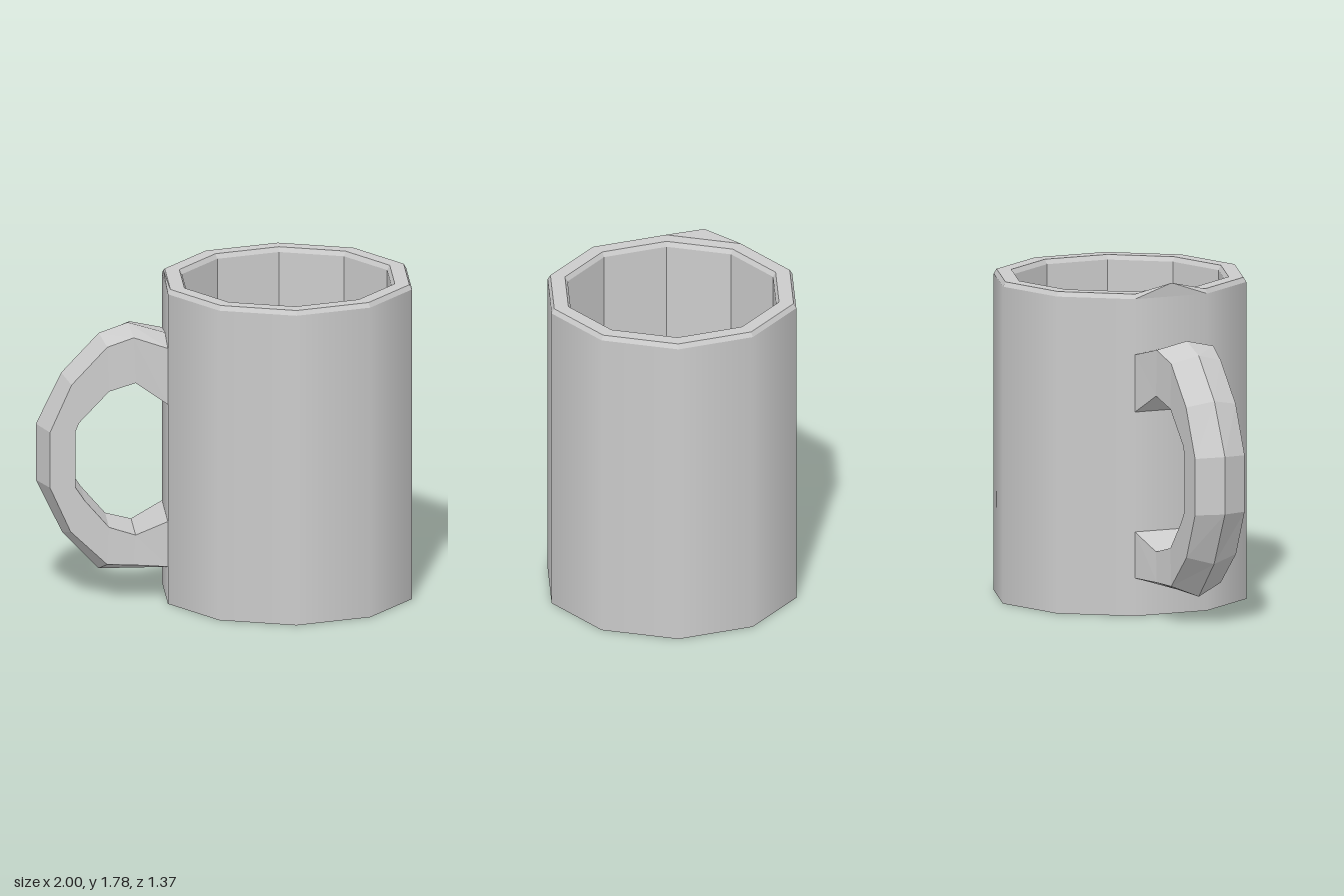
import * as THREE from 'three';
import { ConvexGeometry } from 'three/addons/geometries/ConvexGeometry.js';

const SIDES = 10;
const RADIUS = 0.685;
const CENTRE_X = 0.34;
const WALL_X = -RADIUS * Math.cos(Math.PI / SIDES); // flat face that carries the handle
const HALF_FACE = RADIUS * Math.sin(Math.PI / SIDES);

const flat = () => new THREE.MeshStandardMaterial({ color: 0xcccccc, flatShading: true });
const smooth = () => new THREE.MeshStandardMaterial({ color: 0xcccccc });

function lathe(points) {
  return new THREE.LatheGeometry(points.map(([r, y]) => new THREE.Vector2(r, y)), SIDES);
}

// Stations from the upper end to the lower one:
// [ridge x, y, shoulder x, y, inner x, y, half width]
const STATIONS = [
  [-0.31, 1.44, -0.31, 1.41, -0.31, 1.10, HALF_FACE],
  [-0.51, 1.50, -0.49, 1.46, -0.48, 1.21, 0.165],
  [-0.665, 1.445, -0.63, 1.405, -0.62, 1.16, 0.145],
  [-0.865, 1.23, -0.82, 1.20, -0.78, 0.99, 0.145],
  [-1.0, 0.95, -0.935, 0.94, -0.80, 0.94, 0.145],
  [-1.0, 0.64, -0.935, 0.635, -0.80, 0.635, 0.145],
  [-0.86, 0.35, -0.825, 0.39, -0.75, 0.56, 0.145],
  [-0.665, 0.145, -0.63, 0.205, -0.62, 0.41, 0.145],
  [-0.49, 0.145, -0.49, 0.205, -0.48, 0.37, 0.165],
  [-0.31, 0.145, -0.31, 0.205, -0.31, 0.455, HALF_FACE],
];

// Five-sided cross-sections joined into a loop
function handleGeometry() {
  const positions = [];
  const index = [];
  STATIONS.forEach(([rx, ry, sx, sy, ix, iy, w], i) => {
    const ring = [[rx, ry, 0], [sx, sy, w], [ix, iy, w], [ix, iy, -w], [sx, sy, -w]];
    for (const [x, y, z] of ring) positions.push(x - CENTRE_X, y, z);
    if (i === STATIONS.length - 1) return;
    for (let j = 0; j < 5; j++) {
      const a = i * 5 + j;
      const b = i * 5 + ((j + 1) % 5);
      index.push(a, a + 5, b, b, a + 5, b + 5);
    }
  });
  const geometry = new THREE.BufferGeometry();
  geometry.setAttribute('position', new THREE.Float32BufferAttribute(positions, 3));
  geometry.setIndex(index);
  geometry.computeVertexNormals();
  return geometry;
}

export function createModel() {
  const model = new THREE.Group();
  model.name = 'mug';
  const mug = new THREE.Group();
  mug.name = 'mugBody';
  mug.position.x = CENTRE_X;
  mug.rotation.y = -0.03;
  model.add(mug);

  const add = (name, geometry, material) => {
    const mesh = new THREE.Mesh(geometry, material);
    mesh.name = name;
    mug.add(mesh);
  };

  // Outer wall, softly shaded
  const wall = new THREE.CylinderGeometry(RADIUS, RADIUS, 1.71, SIDES, 1, true);
  wall.translate(0, 1.71 / 2, 0);
  add('outerWall', wall, smooth());

  // Base, then bevelled rim with the faceted inside
  add('base', lathe([[0, 0], [RADIUS, 0]]), flat());
  add('rimAndInside', lathe([
    [RADIUS, 1.71], [0.67, 1.735], [0.59, 1.735], [0.575, 1.71], [0.575, 0.1], [0, 0.1],
  ]), flat());

  // Small pointed tab on the rim above the handle
  const tab = [new THREE.Vector3(WALL_X - 0.009, 1.785, 0)];
  for (const s of [-1, 1]) {
    tab.push(new THREE.Vector3(WALL_X, 1.71, s * HALF_FACE));
    tab.push(new THREE.Vector3(WALL_X + 0.014, 1.735, s * 0.207));
  }
  add('rimTab', new ConvexGeometry(tab), flat());

  add('handle', handleGeometry(), flat());
  return model;
}
